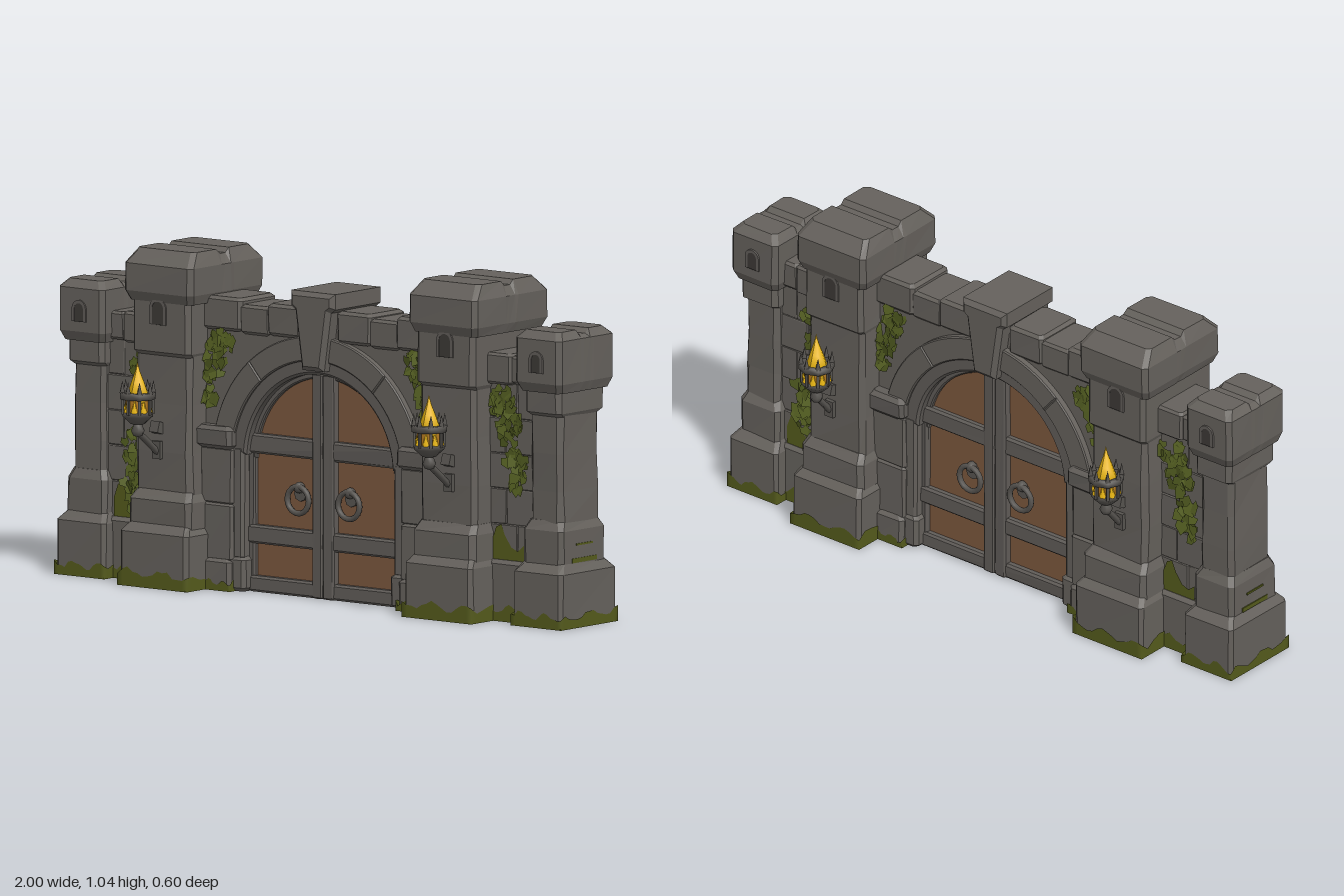
import * as THREE from 'three';
import { mergeGeometries } from 'three/addons/utils/BufferGeometryUtils.js';

const mat = (name, color, side = THREE.FrontSide) => {
  const m = new THREE.MeshStandardMaterial({ color, side });
  m.name = name;
  return m;
};

export function createModel() {
  const M = {
    stone: mat('stone', 0x65615c), trim: mat('trimStone', 0x605c58), wood: mat('wood', 0x7b573d),
    metal: mat('iron', 0x575450), dark: mat('windowDark', 0x3c3936),
    moss: mat('moss', 0x545a1c, THREE.DoubleSide), ivy: mat('ivyLeaf', 0x556022, THREE.DoubleSide),
    flame: mat('flame', 0xf0bc12), ember: mat('ember', 0xb47a22),
  };
  let seed = 7;
  const rnd = () => (seed = (seed * 16807) % 2147483647) / 2147483647;
  const jit = (a) => (rnd() - 0.5) * 2 * a;

  const root = new THREE.Group();
  root.name = 'castleGate';
  const gate = new THREE.Group();
  gate.name = 'gate';
  gate.position.z = -0.0135;
  root.add(gate);

  const add = (parent, name, geo, m, x = 0, y = 0, z = 0) => {
    const mesh = new THREE.Mesh(geo, m);
    mesh.name = name;
    mesh.position.set(x, y, z);
    parent.add(mesh);
    return mesh;
  };

  // Hewn block lofted through rows of [y, halfWidth, halfDepth], with cut corners
  // and an optional groove across the top
  function loft(rows, c = 0.012, notch = 0, wob = 0.003) {
    const pos = [], idx = [];
    let n = 0;
    rows.forEach(([y, w, d], r) => {
      const cut = notch ? [-0.03, -0.014, 0.014, 0.03] : [];
      const right = [[w - c, -d], [w, c - d], ...cut.map((z) => [w, z]), [w, d - c], [w - c, d]];
      const loop = [...right, ...right.slice().reverse().map(([x, z]) => [-x, z])];
      n = loop.length;
      loop.forEach(([x, z]) => {
        const dip = notch && r === rows.length - 1 && Math.abs(z) < 0.02 ? notch : 0;
        pos.push(x + jit(wob), y - dip, z + jit(wob));
      });
    });
    for (let r = 0; r < rows.length - 1; r++) for (let i = 0; i < n; i++) {
      const a = r * n + i, b = r * n + (i + 1) % n;
      idx.push(a, a + n, b, b, a + n, b + n);
    }
    const top = (rows.length - 1) * n;
    for (let k = 0; k < n / 2 - 1; k++) {
      const R = k, L = n - 1 - k;
      idx.push(top + L, top + L - 1, top + R, top + R, top + L - 1, top + R + 1);
      idx.push(R, L - 1, L, R + 1, L - 1, R);
    }
    const g = new THREE.BufferGeometry();
    g.setAttribute('position', new THREE.Float32BufferAttribute(pos, 3));
    g.setIndex(idx);
    const flat = g.toNonIndexed();
    flat.computeVertexNormals();
    return flat;
  }
  const block = (name, x0, x1, y0, y1, hd, r = 0.012, m = M.stone) => {
    const w = Math.abs(x1 - x0) / 2;
    return add(gate, name, loft([[y0, w - r, hd - r], [y0 + r, w, hd], [y1 - r, w, hd], [y1, w - r, hd - r]], r, 0, 0.0015), m, (x0 + x1) / 2);
  };
  const extrude = (shape, h, bevel = 0, seg = 8) => {
    const g = new THREE.ExtrudeGeometry(shape, { depth: 2 * (h - bevel), bevelEnabled: bevel > 0,
      bevelSize: bevel, bevelOffset: -bevel, bevelThickness: bevel, bevelSegments: 1, curveSegments: seg });
    return g.translate(0, 0, bevel - h);
  };
  const poly = (pts) => new THREE.Shape(pts.map(([x, y]) => new THREE.Vector2(x, y)));
  const arcBand = (r0, r1, a0, a1) => {
    const s = new THREE.Shape();
    s.absarc(0, 0, r1, a0, a1, false);
    s.absarc(0, 0, r0, a1, a0, true);
    return s;
  };
  const archShape = (w, h) => { // round-headed opening standing on y = 0
    const s = new THREE.Shape();
    s.moveTo(-w, 0); s.lineTo(w, 0); s.lineTo(w, h);
    s.absarc(0, h, w, 0, Math.PI, false);
    s.lineTo(-w, 0);
    return s;
  };

  // Moss skirt with an uneven top, wrapped round a base, plus its underside
  function mossSkirt(x, w, d, h) {
    const pos = [], idx = [], W = w + 0.003, D = d + 0.003, n = 14;
    const corners = [[W, -D], [W, D], [-W, D], [-W, -D]];
    corners.forEach(([ax, az], k) => {
      const [bx, bz] = corners[(k + 1) % 4];
      for (let i = 0; i < n; i++) {
        const px = ax + (bx - ax) * i / n, pz = az + (bz - az) * i / n;
        const top = h * (0.75 + 0.22 * Math.sin(i * 0.9 + k * 2 + x * 9) + jit(0.1));
        pos.push(px, 0, pz, px, top, pz);
      }
    });
    const N = 4 * n;
    for (let i = 0; i < N; i++) {
      const a = 2 * i, b = 2 * ((i + 1) % N);
      idx.push(a, a + 1, b, b, a + 1, b + 1);
    }
    const g = new THREE.BufferGeometry();
    g.setAttribute('position', new THREE.Float32BufferAttribute(pos, 3));
    g.setIndex(idx);
    g.computeVertexNormals();
    add(gate, 'mossSkirt', g, M.moss, x);
    add(gate, 'mossUnderside', new THREE.BoxGeometry(2 * W, 0.004, 2 * D), M.moss, x, 0.002);
  }

  // Half sizes of base, plinth, shaft, upper shaft and cap; heights of their tops; cap bevel; moss height
  function tower(name, x, b, p, s, u, c, y, bev, moss) {
    add(gate, name + 'Base', loft([[0.003, ...b], [y[0] - 0.03, ...b], [y[0], b[0] - 0.02, b[1] - 0.03]], 0.012, 0, 0.002), M.stone, x);
    add(gate, name + 'Plinth', loft([[y[0] - 0.03, ...p], [y[1] - 0.03, ...p], [y[1], ...s]], 0.015), M.stone, x);
    const mid = (t) => y[1] + (y[2] - y[1]) * t;
    add(gate, name + 'Shaft', loft([0, 0.3, 0.65, 1.05].map((t) => [mid(t) - 0.01, ...s]), 0.015), M.stone, x);
    add(gate, name + 'UpperShaft', loft([[y[2] - 0.012, ...s], [y[2], ...u], [y[3] + 0.01, ...u]], 0.014, 0, 0.0015), M.stone, x);
    add(gate, name + 'Cap', loft([[y[3], c[0] - 0.01, c[1] - 0.014], [y[3] + 0.03, ...c], [y[4] - bev, ...c],
      [y[4], c[0] - 0.022, c[1] - bev]], 0.015, 0.015, 0.0015), M.stone, x);
    mossSkirt(x, ...b, moss);
  }

  for (const s of [-1, 1]) {
    tower('innerTower', s * 0.56, [0.134, 0.203], [0.122, 0.178], [0.109, 0.154], [0.114, 0.168], [0.135, 0.184],
      [0.2, 0.3, 0.73, 0.885, 1.045], 0.045, 0.058);
    tower('outerTower', s * 0.9, [0.096, 0.138], [0.078, 0.112], [0.064, 0.096], [0.07, 0.114], [0.09, 0.138],
      [0.2, 0.33, 0.665, 0.73, 0.92], 0.025, 0.048);
    // Thin moss lines along the outer ledge
    add(gate, 'ledgeMoss', new THREE.BoxGeometry(0.008, 0.014, 0.12), M.moss, s * 0.976, 0.206);
    add(gate, 'ledgeMoss', new THREE.BoxGeometry(0.004, 0.006, 0.08), M.moss, s * 0.979, 0.255);
    // Curtain wall between the towers, in staggered courses
    block('sideWallCore', s * 0.64, s * 0.86, 0, 0.815, 0.07);
    block('sideWallFoot', s * 0.64, s * 0.85, 0.003, 0.19, 0.094);
    mossSkirt(s * 0.745, 0.09, 0.094, 0.055);
    for (let i = 0; i < 5; i++) {
      const y = 0.19 + i * 0.11, split = i % 2 ? 0.73 : 0.775, end = i % 2 ? 0.85 : 0.86;
      block('wallStone', s * 0.64, s * split, y, y + 0.11, 0.073 + 0.004 * rnd(), 0.003);
      block('wallStone', s * split, s * end, y, y + 0.11, 0.073 + 0.004 * rnd(), 0.003);
    }
    block('sideCoping', s * 0.65, s * 0.765, 0.735, 0.832, 0.096, 0.008);
    block('sideCoping', s * 0.76, s * 0.85, 0.74, 0.828, 0.092, 0.008);
    // Coping above the arch
    block('coping', s * 0.305, s * 0.46, 0.805, 0.91, 0.09, 0.01);
    block('coping', s * 0.195, s * 0.315, 0.8, 0.892, 0.084, 0.009);
    block('coping', s * 0.07, s * 0.205, 0.805, 0.905, 0.088, 0.01);
    // Piers and imposts carrying the arch
    block('pierFoot', s * 0.33, s * 0.44, 0.003, 0.1, 0.112, 0.012);
    mossSkirt(s * 0.385, 0.055, 0.112, 0.035);
    block('pier', s * 0.33, s * 0.46, 0.09, 0.27, 0.1, 0.008);
    block('pier', s * 0.33, s * 0.46, 0.265, 0.445, 0.098, 0.008);
    block('jambFoot', s * 0.285, s * 0.36, 0, 0.11, 0.096);
    block('jamb', s * 0.295, s * 0.36, 0.1, 0.45, 0.088, 0.008);
    block('impost', s * 0.325, s * 0.465, 0.44, 0.51, 0.118, 0.012, M.trim);
  }

  // Wall pierced by the gateway
  const wall = poly([[-0.46, 0], [-0.46, 0.87], [0.46, 0.87], [0.46, 0], [0.31, 0], [0.31, 0.42]]);
  wall.absarc(0, 0.42, 0.3, 0, Math.PI, false);
  wall.lineTo(-0.31, 0);
  add(gate, 'archWall', extrude(wall, 0.074, 0, 24), M.stone);
  // Arch: inner ring and separate voussoirs
  add(gate, 'innerArch', extrude(arcBand(0.288, 0.345, 0.05, Math.PI - 0.05), 0.087, 0.008, 32), M.trim, 0, 0.412);
  const N = 4, step = (Math.PI - 0.3) / N;
  for (let i = 0; i < N; i++) {
    const a = 0.15 + i * step;
    add(gate, 'voussoir', extrude(arcBand(0.335, 0.412, a, a + step), 0.097, 0.004, 12), M.stone, 0, 0.408);
  }
  add(gate, 'keystone', extrude(poly([[-0.043, 0.715], [0.043, 0.715], [0.07, 0.9], [0.087, 0.912], [0.087, 0.96], [-0.087, 0.96],
    [-0.087, 0.912], [-0.07, 0.9]]), 0.125, 0.014), M.stone);

  // Door leaves with frame and bands
  add(gate, 'doorPanel', extrude(archShape(0.3, 0.4), 0.042, 0, 24), M.wood, 0, 0.015);
  add(gate, 'doorArchFrame', extrude(arcBand(0.27, 0.299, 0, Math.PI), 0.056, 0.004, 24), M.trim, 0, 0.415);
  for (const [y0, y1] of [[0, 0.05], [0.15, 0.208], [0.43, 0.492]]) block('doorBand', -0.3, 0.3, y0, y1, 0.064, 0.007, M.trim);
  for (const s of [-1, 1]) {
    block('doorStile', s * 0.001, s * 0.043, 0, 0.7, 0.068, 0.005, M.trim);
    block('doorFrame', s * 0.274, s * 0.3, 0, 0.44, 0.058, 0.006, M.trim);
  }

  function torch(parent, x, z, wallZ) {
    const t = new THREE.Group();
    t.name = 'torch';
    t.position.set(x, 0, z);
    parent.add(t);
    const lathe = (pts, n) => new THREE.LatheGeometry(pts.map(([r, y]) => new THREE.Vector2(r, y)), n);
    add(t, 'torchCup', lathe([[0, 0.515], [0.022, 0.517], [0.047, 0.54], [0.047, 0.555], [0, 0.555]], 8), M.metal);
    add(t, 'torchKnob', lathe([[0, 0.475], [0.014, 0.48], [0.021, 0.495], [0.014, 0.512], [0.012, 0.52]], 8), M.metal);
    add(t, 'embers', new THREE.CylinderGeometry(0.039, 0.038, 0.055, 8), [M.ember, M.flame, M.ember], 0, 0.578);
    add(t, 'torchRim', lathe([[0.037, 0.594], [0.055, 0.594], [0.056, 0.615], [0.037, 0.615], [0.037, 0.594]], 8), M.metal);
    for (let i = 0; i < 8; i++) {
      const a = i * Math.PI / 4, b = a + Math.PI / 8, X = Math.sin(a), Z = Math.cos(a);
      add(t, 'cageBar', new THREE.BoxGeometry(0.009, 0.055, 0.007), M.metal, X * 0.047, 0.575, Z * 0.047).rotation.y = a;
      add(t, 'rimSpike', new THREE.ConeGeometry(0.011, 0.04, 4), M.metal, X * 0.048, 0.632, Z * 0.048);
      add(t, 'cageFlame', new THREE.ConeGeometry(0.012, 0.045, 5), M.flame, Math.sin(b) * 0.036, 0.576, Math.cos(b) * 0.036);
    }
    // Flame tongues, leaning towards the tip
    for (const [r, h, fx, fz] of [[0.032, 0.135, 0, 0], [0.017, 0.085, 0.017, 0.008], [0.017, 0.08, -0.016, -0.01]]) {
      const g = lathe([[0, 0], [r * 0.8, h * 0.12], [r, h * 0.32], [r * 0.65, h * 0.55], [r * 0.25, h * 0.78], [0, h]], 7);
      const p = g.attributes.position;
      for (let i = 0; i < p.count; i++) {
        const bend = 0.007 * Math.sin(p.getY(i) / h * 5);
        p.setXYZ(i, p.getX(i) + bend, p.getY(i), p.getZ(i) + bend);
      }
      g.computeVertexNormals();
      add(t, 'flameTongue', g, M.flame, fx, 0.573, fz);
    }
    // Bracket arm and wall plates
    const dz = wallZ - z;
    const arm = new THREE.CatmullRomCurve3([new THREE.Vector3(0, 0.49, 0), new THREE.Vector3(0, 0.462, dz * 0.4), new THREE.Vector3(0, 0.415, dz)]);
    add(t, 'torchArm', new THREE.TubeGeometry(arm, 6, 0.01, 6), M.metal);
    add(t, 'wallPlate', new THREE.BoxGeometry(0.032, 0.055, 0.02), M.metal, 0, 0.425, dz);
    add(t, 'upperPlate', new THREE.BoxGeometry(0.034, 0.035, 0.028), M.metal, 0, 0.495, dz + 0.006).rotation.x = -0.3;
  }

  // Ivy: pointed leaves scattered over discs of [x, y, radius, count]
  const leaf = new THREE.ShapeGeometry(poly([[0, -0.025], [0.019, -0.004], [0.014, 0.015], [0, 0.01], [-0.014, 0.015], [-0.019, -0.004]]));
  function ivy(parent, discs, z) {
    const leaves = [];
    for (const [cx, cy, rad, n] of discs) for (let i = 0; i < n; i++) {
      const a = rnd() * 6.283, r = rad * Math.sqrt(rnd()), k = 0.75 + 0.5 * rnd();
      const g = leaf.clone().scale(k, k, k).rotateZ(jit(0.9)).rotateX(jit(0.3) - 0.1).rotateY(jit(0.4));
      leaves.push(g.translate(cx + Math.cos(a) * r, cy + Math.sin(a) * r, z + rnd() * 0.012));
    }
    add(parent, 'ivy', mergeGeometries(leaves), M.ivy);
  }

  // Fittings on the front, repeated turned round on the back
  for (const [name, turn, tz] of [['frontFittings', 0, 0.258], ['backFittings', Math.PI, 0.2275]]) {
    const f = new THREE.Group();
    f.name = name;
    f.rotation.y = turn;
    gate.add(f);
    for (const s of [-1, 1]) {
      torch(f, s * 0.574, tz, 0.158);
      for (const [x, y, z, w, h] of [[0.565, 0.815, 0.169, 0.022, 0.05], [0.9, 0.792, 0.139, 0.017, 0.04]]) {
        const frame = archShape(w + 0.01, h);
        frame.holes.push(archShape(w, h));
        add(f, 'windowFrame', extrude(frame, 0.004), M.trim, s * x, y, z);
        add(f, 'window', extrude(archShape(w, h), 0.002), M.dark, s * x, y, z + 0.001);
      }
      add(f, 'doorRing', new THREE.TorusGeometry(0.042, 0.009, 8, 20), M.metal, s * 0.1, 0.3, 0.062);
      add(f, 'ringBoss', new THREE.SphereGeometry(0.018, 8, 6), M.metal, s * 0.1, 0.338, 0.055);
      add(f, 'ringPlate', new THREE.CylinderGeometry(0.024, 0.024, 0.012, 8).rotateX(Math.PI / 2), M.metal, s * 0.1, 0.318, 0.046);
      ivy(f, [[s * 0.435, 0.61, 0.03, 10], [s * 0.42, 0.69, 0.045, 18], [s * 0.385, 0.76, 0.045, 24]], 0.079);
      add(f, 'mossPatch', new THREE.ShapeGeometry(poly([[-0.065, 0], [0.06, 0], [0.06, 0.05], [0.035, 0.03], [0.01, 0.04], [-0.015, 0.075],
        [-0.03, 0.11], [-0.05, 0.1], [-0.065, 0.06]])), M.moss, s * 0.745, 0.19, 0.08);
    }
    ivy(f, [[0.72, 0.68, 0.045, 18], [0.755, 0.6, 0.05, 20], [0.775, 0.5, 0.04, 15], [0.785, 0.43, 0.03, 8]], 0.08);
    ivy(f, [[-0.7, 0.67, 0.035, 8], [-0.7, 0.57, 0.035, 8], [-0.725, 0.41, 0.05, 20], [-0.735, 0.31, 0.05, 16], [-0.72, 0.24, 0.03, 6]], 0.08);
  }
  return root;
}
